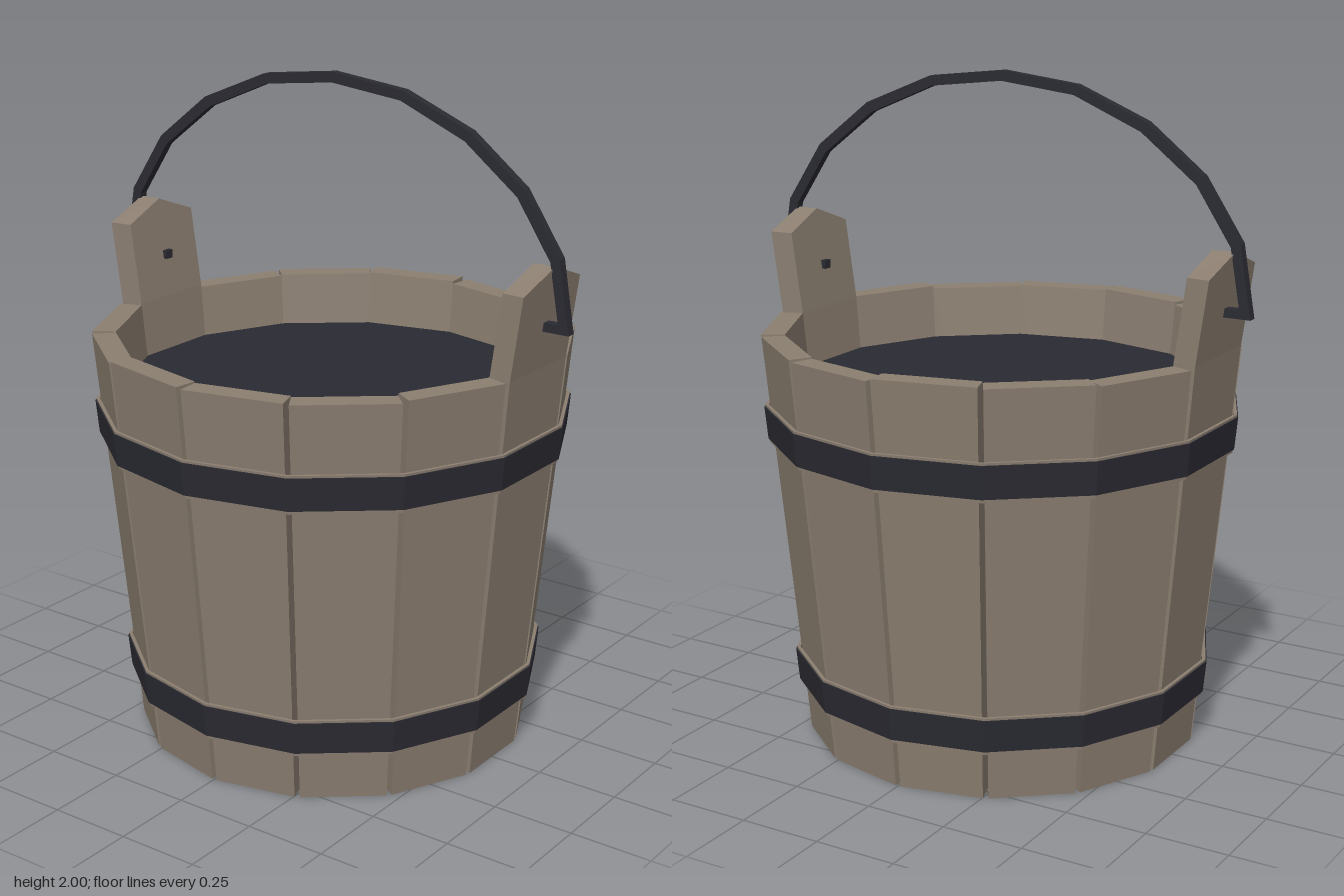
import * as THREE from 'three';

const SIDES = 14, RIM = 1.24, THICK = 0.07, GAP = 0.008;
const TAN = Math.tan(Math.PI / SIDES), COS = Math.cos(Math.PI / SIDES);
// Distance from the axis to the outer face of a stave at height y; lugs lean out more above the rim
const faceRadius = (y) => 0.585 + 0.0935 * y + 0.05 * Math.max(0, y - RIM);

function mat(name, color) {
  const m = new THREE.MeshStandardMaterial({ color });
  m.name = name;
  return m;
}

function flat(geometry) {
  const g = geometry.index ? geometry.toNonIndexed() : geometry;
  g.computeVertexNormals();
  return g;
}

// Outline in (side, height), side -1..1; extruded, then tapered and leaned outward.
// Neighbours meet on the inside and leave a narrow V groove on the outside.
function staveGeometry(top, tall) {
  const pts = tall
    ? [[-1, 0], [1, 0], [1, RIM], [1, 1.485], [0, 1.54], [-1, 1.485], [-1, RIM]]
    : [[-1, 0], [1, 0], [1, top], [-1, top]];
  const shape = new THREE.Shape(pts.map(([x, y]) => new THREE.Vector2(x, y)));
  const g = new THREE.ExtrudeGeometry(shape, { depth: 1, bevelEnabled: false });
  const p = g.attributes.position;
  for (let i = 0; i < p.count; i++) {
    const y = p.getY(i), depth = p.getZ(i), inset = (1 - depth) * THICK;
    const half = (faceRadius(Math.min(y, RIM)) - inset) * TAN - GAP * depth;
    p.setXYZ(i, p.getX(i) * half, y, faceRadius(y) - inset);
  }
  return flat(g);
}

// Closed band that follows the lean of the staves
function bandGeometry(y0, y1, out) {
  const r = (y, d) => faceRadius(y) / COS + d;
  const profile = [
    [r(y0, out), y0], [r(y1, out), y1], [r(y1, 0.002), y1], [r(y0, 0.002), y0], [r(y0, out), y0],
  ].map(([x, y]) => new THREE.Vector2(x, y));
  return flat(new THREE.LatheGeometry(profile, SIDES));
}

export function createModel() {
  const wood = mat('wood', 0x8b7e70);
  const iron = mat('dark iron', 0x2a2a32);
  const model = new THREE.Group();
  model.name = 'bucket';
  const add = (name, geometry, material) => {
    const mesh = new THREE.Mesh(geometry, material);
    mesh.name = name;
    model.add(mesh);
    return mesh;
  };

  // Ring of staves; the two on the x axis rise into handle lugs
  for (let i = 0; i < SIDES; i++) {
    const tall = i % 7 === 0;
    const top = RIM - 0.004 + 0.004 * ((i * 5) % 3 - 1);
    const stave = add(tall ? 'lugStave' : 'stave', staveGeometry(top, tall), wood);
    stave.rotation.y = Math.PI / 2 + (i * Math.PI * 2) / SIDES;
  }

  // Iron hoops with thin wooden edges
  for (const [name, y0, y1] of [['lowerHoop', 0.147, 0.262], ['upperHoop', 0.915, 1.03]]) {
    add(name + 'Edge', bandGeometry(y0, y1, 0.012), wood);
    add(name, bandGeometry(y0 + 0.01, y1 - 0.007, 0.016), iron);
  }

  // Contents and recessed base
  add('contents', flat(new THREE.CylinderGeometry(0.634, 0.632, 0.02, SIDES)), iron).position.y = 1.065;
  add('base', flat(new THREE.CylinderGeometry(0.542, 0.54, 0.02, SIDES)), wood).position.y = 0.11;

  // Bail handle: flat-sided arch from right-hand points, mirrored
  const outer = [[0.8, 1.355], [0.764, 1.565], [0.646, 1.743], [0.469, 1.881], [0.245, 1.972], [0, 2]];
  const inner = [[0.77, 1.355], [0.735, 1.553], [0.625, 1.719], [0.452, 1.853], [0.237, 1.943], [0, 1.97]];
  const mirror = (pts) => pts.slice(0, -1).reverse().map(([x, y]) => [-x, y]);
  const outline = [...outer, ...mirror(outer), ...[...inner, ...mirror(inner)].reverse()];
  const arch = new THREE.ExtrudeGeometry(
    new THREE.Shape(outline.map(([x, y]) => new THREE.Vector2(x, y))),
    { depth: 0.028, bevelEnabled: false });
  arch.translate(0, 0, -0.014);
  add('handle', flat(arch), iron);

  // Pins joining the handle ends to the lugs
  for (const s of [-1, 1]) {
    add('handlePin', new THREE.BoxGeometry(0.16, 0.026, 0.028), iron).position.set(s * 0.716, 1.368, 0);
  }
  return model;
}
